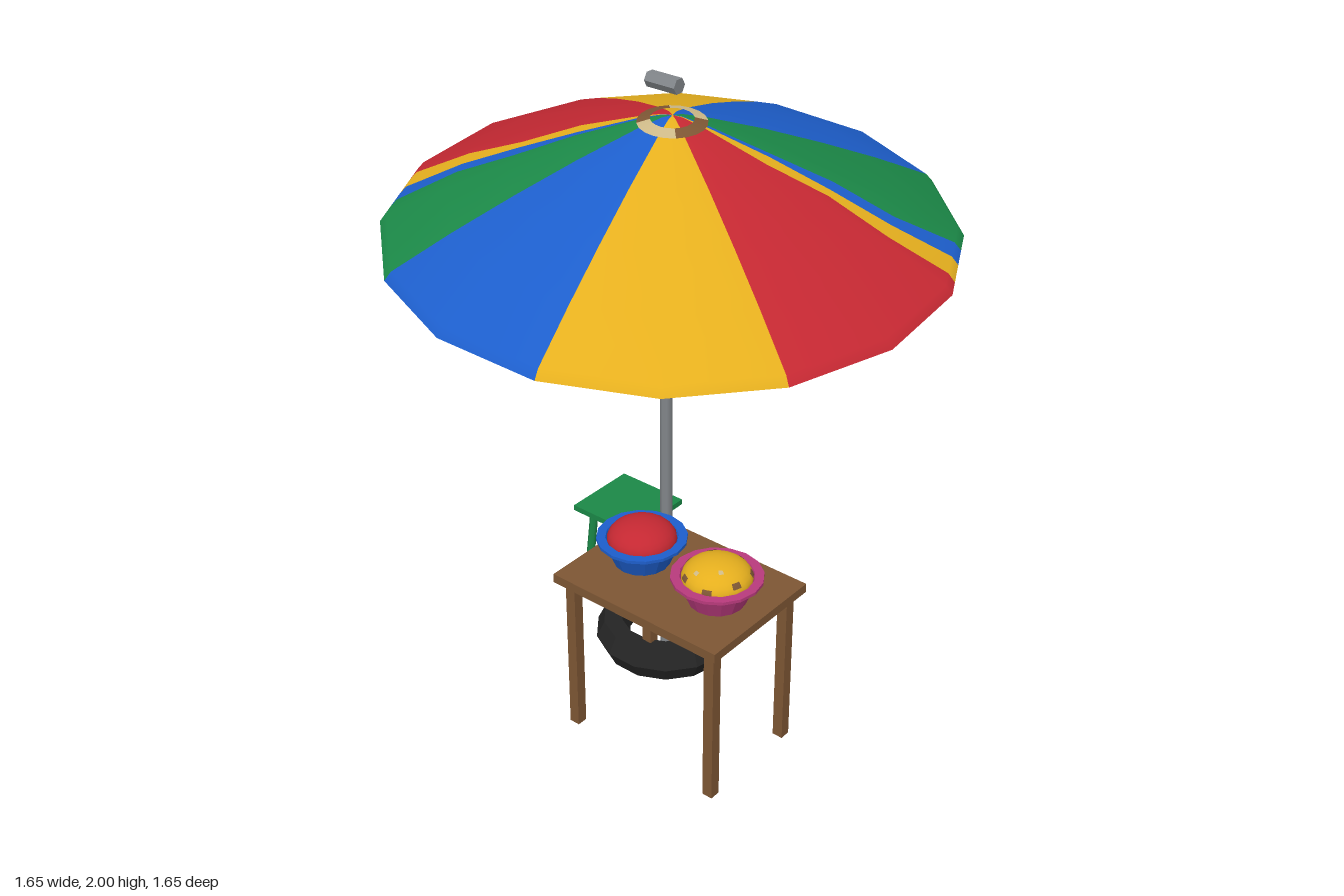
import * as THREE from 'three';

const mat = (name, color) => {
  const m = new THREE.MeshStandardMaterial({ color, side: THREE.DoubleSide });
  m.name = name;
  return m;
};

export function createModel() {
  const model = new THREE.Group();
  model.name = 'marketStall';
  const red = mat('red', 0xc42832), yellow = mat('yellow', 0xe5af1e);
  const blue = mat('blue', 0x1d5ecb), green = mat('green', 0x1b8847);
  const metal = mat('metal', 0x82868a), ribMetal = mat('ribMetal', 0xa0a4a7);
  const rubber = mat('rubber', 0x242424), wood = mat('wood', 0x7d5634);
  const pink = mat('pink', 0xb83a7c), cream = mat('cream', 0xcdb988);

  const add = (parent, name, geometry, material, x = 0, y = 0, z = 0) => {
    const mesh = new THREE.Mesh(geometry, material);
    mesh.name = name;
    mesh.position.set(x, y, z);
    parent.add(mesh);
    return mesh;
  };
  const group = (name, x, y, z) => {
    const g = new THREE.Group();
    g.name = name;
    g.position.set(x, y, z);
    model.add(g);
    return g;
  };
  const lathe = (pts, n, ...arc) => new THREE.LatheGeometry(pts.map(p => new THREE.Vector2(...p)), n, ...arc);
  const flat = g => {
    const f = g.toNonIndexed();
    f.computeVertexNormals();
    return f;
  };
  // straight round bar between two points
  const bar = (parent, name, a, b, r, sides, material) => {
    const d = b.clone().sub(a);
    const mesh = add(parent, name, new THREE.CylinderGeometry(r, r, d.length(), sides), material);
    mesh.position.copy(a).add(b).multiplyScalar(0.5);
    mesh.quaternion.setFromUnitVectors(new THREE.Vector3(0, 1, 0), d.normalize());
  };

  // --- Canopy: sixteen-sided shallow dome, panels repeat every half turn
  const mats = [red, yellow, blue, green];
  // [panel start angle (one value, or one per ring from tip to rim), colour index]
  const panels = [
    [30, 1], [52.5, 1], [75, 2], [97.5, 2], [120, 3], [142.5, 3],
    [[150, 150, 150, 151, 149.5, 151.5, 148.4, 148.4], 2],
    [[155, 155, 156, 155, 155.5, 156, 154, 154], 1],
    [[162, 162, 163, 164, 160, 162, 160.5, 160.5], 0],
    [165, 0], [187.5, 0],
  ];
  const cols = [0, 180].flatMap(turn => panels.map(([a, c]) => ({ a, c, turn })));
  // profile points: [radius, height, ring number]
  const canopyPart = profile => {
    const pos = [], index = [], n = cols.length, rad = Math.PI / 180;
    const g = new THREE.BufferGeometry();
    for (const { a, turn } of cols) {
      for (const [r, h, ring] of profile) {
        const deg = (Array.isArray(a) ? a[ring] : a) + turn;
        const off = ((deg - 7.5) % 22.5) - 11.25;
        const rr = r * Math.cos(11.25 * rad) / Math.cos(off * rad);
        pos.push(rr * Math.cos(deg * rad), h, rr * Math.sin(deg * rad));
      }
    }
    const k = profile.length;
    cols.forEach(({ c }, j) => {
      g.addGroup(index.length, (k - 1) * 6, c);
      for (let i = 0; i < k - 1; i++) {
        const p = j * k + i, q = ((j + 1) % n) * k + i;
        index.push(p, q, p + 1, q, q + 1, p + 1);
      }
    });
    g.setAttribute('position', new THREE.Float32BufferAttribute(pos, 3));
    g.setIndex(index);
    g.computeVertexNormals();
    return g;
  };
  const canopy = group('canopy', 0, 1.595, 0);
  canopy.rotation.set(0.073, 0, -0.073);
  const top = [[0.003, 0.358, 0], [0.03, 0.356, 1], [0.1, 0.335, 2], [0.28, 0.268, 3],
    [0.46, 0.193, 4], [0.64, 0.112, 5], [0.815, 0.025, 6], [0.836, 0, 7]];
  const lip = [[0.836, 0, 7], [0.79, -0.01, 7]];
  // shallower lining underneath, from the rim back to the pole head
  const lining = [[0.79, -0.01, 7], [0.64, 0.048, 5], [0.46, 0.095, 4], [0.28, 0.133, 3],
    [0.1, 0.162, 2], [0.03, 0.168, 1], [0.003, 0.169, 0]];
  add(canopy, 'canopyTop', canopyPart(top), mats);
  add(canopy, 'canopyLip', canopyPart(lip), mats);
  add(canopy, 'canopyLining', canopyPart(lining), mats);
  // collar around the tip, in four arcs
  for (let i = 0; i < 4; i++)
    add(canopy, 'collar', lathe([[0.1, 0.338], [0.062, 0.349]], 5, (i - 0.5) * Math.PI / 2, Math.PI / 2), i % 2 ? wood : cream);

  // --- Pole, ribs and the loose crossbar above
  const px = -0.11, pz = -0.11;
  add(model, 'pole', new THREE.CylinderGeometry(0.02, 0.02, 1.76, 8), metal, px, 0.88, pz);
  const hub = new THREE.Vector3(px, 1.76, pz);
  for (let i = 0; i < 8; i++) {
    const a = i * Math.PI / 4, len = 0.69;
    const end = new THREE.Vector3(Math.cos(a) * len, -0.15 * len, Math.sin(a) * len).add(hub);
    bar(model, 'rib', hub, end, 0.006, 6, ribMetal);
  }
  const cross = add(model, 'crossbar', flat(new THREE.CylinderGeometry(0.025, 0.025, 0.11, 6)), metal, -0.115, 1.975, pz);
  cross.rotation.z = Math.PI / 2;

  // --- Tyre used as the weight
  const tyre = [[0.125, 0.055], [0.15, 0], [0.212, 0], [0.238, 0.055], [0.212, 0.11], [0.15, 0.11], [0.125, 0.055]];
  add(model, 'tyre', flat(lathe(tyre, 14)), rubber, px, 0, pz).rotation.y = Math.PI / 2;

  // --- Table
  const table = group('table', 0.202, 0, 0.207);
  add(table, 'tableTop', new THREE.BoxGeometry(0.62, 0.03, 0.444), wood, 0, 0.557, 0);
  for (const sx of [-1, 1]) for (const sz of [-1, 1])
    add(table, 'tableLeg', new THREE.BoxGeometry(0.035, 0.545, 0.035), wood, sx * 0.268, 0.2725, sz * 0.178);

  // --- Stool with splayed legs
  const stool = group('stool', -0.427, 0, -0.286);
  add(stool, 'stoolSeat', new THREE.BoxGeometry(0.264, 0.02, 0.264), green, 0, 0.326, 0);
  for (const sx of [-1, 1]) for (const sz of [-1, 1])
    bar(stool, 'stoolLeg', new THREE.Vector3(sx * 0.103, 0.003, sz * 0.103),
      new THREE.Vector3(sx * 0.082, 0.318, sz * 0.082), 0.0145, 6, green);

  // --- Bowls with heaped contents
  const bowlProfile = [[0, 0.002], [0.088, 0.002], [0.118, 0.075], [0.14, 0.08], [0.14, 0.09], [0.112, 0.09], [0.1, 0.06], [0, 0.06]];
  const bowl = (name, x, z, shell, fill) => {
    const g = group(name, x, 0.571, z);
    add(g, 'bowlShell', flat(lathe(bowlProfile, 16)), shell);
    const heap = add(g, 'heap', new THREE.SphereGeometry(0.108, 20, 8, 0, Math.PI * 2, 0, Math.PI / 2), fill, 0, 0.08, 0);
    heap.scale.y = 0.58;
    return heap;
  };
  bowl('blueBowl', 0.05, 0.2, blue, red);
  const heap = bowl('pinkBowl', 0.352, 0.215, pink, yellow);
  // thin patches on the yellow heap
  const patch = (phi, theta, w, h, material) =>
    add(heap, 'patch', new THREE.SphereGeometry(0.1095, 4, 3, phi, w, theta, h), material);
  for (let i = 0; i < 7; i++) patch(i * 0.9, 1 + (i % 3) * 0.1, 0.28, 0.26, wood);
  patch(2.3, 0.45, 0.25, 0.15, cream);
  patch(1.2, 0.7, 0.2, 0.15, cream);

  return model;
}
